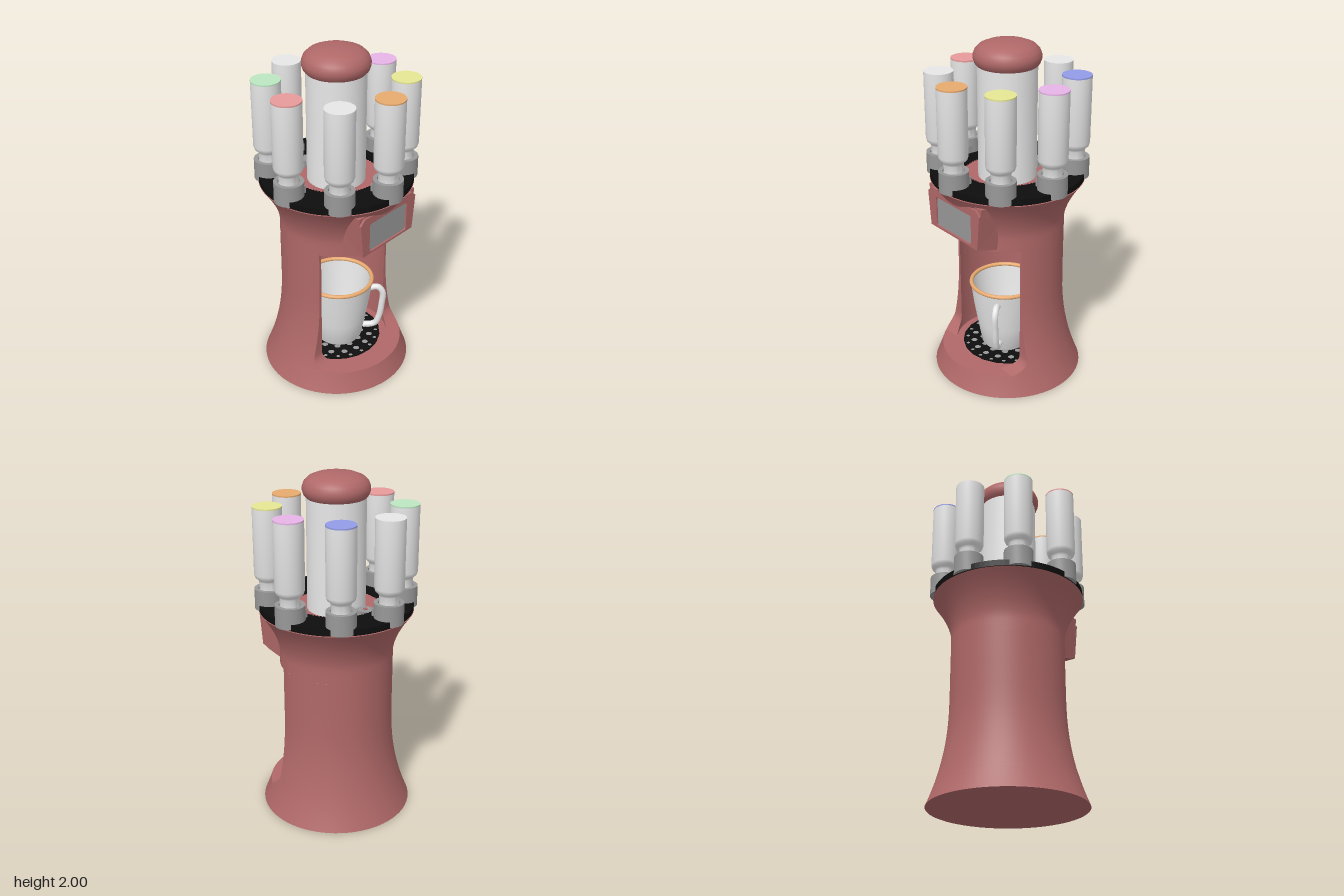
import * as THREE from 'three';
import { toCreasedNormals } from 'three/addons/utils/BufferGeometryUtils.js';

const mat = (name, color, side = THREE.FrontSide) => {
  const m = new THREE.MeshStandardMaterial({ color, side });
  m.name = name;
  return m;
};

export function createModel() {
  const model = new THREE.Group();
  model.name = 'drinkMachine';
  const red = mat('dusty red', 0xb06868);
  const black = mat('black', 0x0e0e0e);
  const grey = mat('grey', 0x989898);
  const white = mat('white', 0xf2f2f2);
  const orange = mat('orange', 0xf2b274);
  const yellow = mat('yellow', 0xf2f29b);
  const purple = mat('purple', 0xf2bdf2);
  const blue = mat('blue', 0x9aa3f2);
  const green = mat('green', 0xc5f2cb);
  const pink = mat('pink', 0xf2a1a1);

  const add = (name, geometry, material, parent = model) => {
    const mesh = new THREE.Mesh(geometry, material);
    mesh.name = name;
    parent.add(mesh);
    return mesh;
  };
  const lathe = (pts, seg = 72) => toCreasedNormals(
    new THREE.LatheGeometry(pts.map(([r, y]) => new THREE.Vector2(r, y)), seg), 0.6);
  // horizontal plate: shape lies in x/-z, its underside at y
  const plate = (shape, depth, y) => new THREE.ExtrudeGeometry(shape,
    { depth, bevelEnabled: false, curveSegments: 48 }).rotateX(-Math.PI / 2).translate(0, y, 0);

  // Body outline: flared foot, straight waist, flared top
  const radius = y => 0.326
    + 0.115 * Math.max(0, (0.6 - y) / 0.6) ** 2.2
    + 0.112 * Math.max(0, (y - 0.98) / 0.25) ** 1.7;
  const outline = (y0, y1, n) => Array.from({ length: n + 1 }, (_, i) => {
    const y = y0 + (y1 - y0) * i / n;
    return [radius(y), y];
  });
  const floorY = 0.12, ceilingY = 0.9, topY = 1.23;
  add('foot', lathe([[0, 0], ...outline(0, floorY, 6), [0, floorY]]), red);
  add('head', lathe([[0, ceilingY], ...outline(ceilingY, topY, 14), [0, topY]]), red);

  // Curved wall around the cup niche, open at the front
  const ys = [floorY, 0.132, 0.145, 0.16, 0.18, 0.2, 0.25, 0.3, 0.36, 0.42, 0.5, 0.6, 0.75, ceilingY];
  const n = 56, inner = 0.312, loop = 2 * (n + 1);
  const positions = [], index = [];
  ys.forEach((y, j) => {
    const cutZ = 0.14 + 0.09 * Math.max(0, (0.2 - y) / 0.08) ** 2;
    for (const outside of [true, false]) {
      const r = outside ? radius(y) : inner;
      const start = Math.acos(cutZ / r);
      for (let i = 0; i <= n; i++) {
        const t = outside ? i / n : 1 - i / n;
        const a = start + t * 2 * (Math.PI - start);
        positions.push(r * Math.sin(a), y, r * Math.cos(a));
      }
    }
    if (j === 0) return;
    for (let i = 0; i < loop; i++) {
      const k = (i + 1) % loop, lo = (j - 1) * loop, hi = j * loop;
      index.push(lo + i, lo + k, hi + i, hi + k, hi + i, lo + k);
    }
  });
  const wall = new THREE.BufferGeometry();
  wall.setAttribute('position', new THREE.Float32BufferAttribute(positions, 3));
  wall.setIndex(index);
  add('nicheWall', toCreasedNormals(wall, 0.6), red);

  // Control block with a sloping underside, widening towards the top
  const side = new THREE.Shape([[0.1, 0.9], [0.2, 0.9], [0.335, 0.937], [0.375, 0.955], [0.375, 1.2], [0.1, 1.2]]
    .map(([z, y]) => new THREE.Vector2(-z, y)));
  const block = new THREE.ExtrudeGeometry(side, { depth: 0.42, bevelEnabled: false })
    .translate(0, 0, -0.21).rotateY(Math.PI / 2);
  const p = block.attributes.position;
  for (let i = 0; i < p.count; i++) p.setX(i, p.getX(i) * (1 + 0.45 * Math.max(0, p.getY(i) - 0.955)));
  block.computeVertexNormals();
  add('controlBlock', block, red);

  // Screen set into a shallow frame
  const roundRect = (s, w, y0, y1, r) => {
    s.moveTo(-w + r, y0);
    s.lineTo(w - r, y0); s.quadraticCurveTo(w, y0, w, y0 + r);
    s.lineTo(w, y1 - r); s.quadraticCurveTo(w, y1, w - r, y1);
    s.lineTo(-w + r, y1); s.quadraticCurveTo(-w, y1, -w, y1 - r);
    s.lineTo(-w, y0 + r); s.quadraticCurveTo(-w, y0, -w + r, y0);
    return s;
  };
  const frame = new THREE.Shape([[-0.21, 0.955], [0.21, 0.955], [0.231, 1.16], [0.2, 1.19], [-0.2, 1.19], [-0.231, 1.16]]
    .map(([x, y]) => new THREE.Vector2(x, y)));
  frame.holes.push(roundRect(new THREE.Path(), 0.157, 0.967, 1.145, 0.018));
  add('screenFrame', new THREE.ExtrudeGeometry(frame, { depth: 0.012, bevelEnabled: false }).translate(0, 0, 0.375), red);
  add('screen', new THREE.ShapeGeometry(roundRect(new THREE.Shape(), 0.151, 0.973, 1.139, 0.014))
    .translate(0, 0, 0.382), grey);

  // Drip tray: black grille over a grey dish
  const grille = new THREE.Shape().absarc(0, 0, 0.27, 0, Math.PI * 2);
  for (const [ring, count] of [[0.09, 8], [0.15, 12], [0.205, 16], [0.245, 20]]) {
    for (let i = 0; i < count; i++) {
      const a = (i + 0.5) / count * Math.PI * 2;
      grille.holes.push(new THREE.Path().absarc(ring * Math.cos(a), ring * Math.sin(a),
        ring > 0.22 ? 0.012 : 0.019, 0, Math.PI * 2));
    }
  }
  const trayGeometry = new THREE.ExtrudeGeometry(grille, { depth: 0.005, bevelEnabled: false, curveSegments: 10 });
  add('dripGrille', trayGeometry.rotateX(-Math.PI / 2).translate(0, floorY, 0), black);
  add('dripDish', new THREE.CircleGeometry(0.265, 40).rotateX(-Math.PI / 2).translate(0, floorY + 0.001, 0), grey);

  // Mug with a coloured rim and a handle turned to the front left
  const mug = new THREE.Group();
  mug.name = 'mug';
  mug.position.z = 0.02;
  model.add(mug);
  add('mugBody', lathe([[0, 0.126], [0.13, 0.126], [0.14, 0.14], [0.165, 0.28], [0.187, 0.41], [0.203, 0.535],
    [0.191, 0.535], [0.175, 0.41], [0.153, 0.28], [0.13, 0.15], [0, 0.15]], 48), white);
  add('mugRim', new THREE.TorusGeometry(0.199, 0.012, 10, 56).rotateX(Math.PI / 2).translate(0, 0.54, 0), orange);
  const path = new THREE.CatmullRomCurve3([[0.185, 0.475], [0.235, 0.485], [0.265, 0.45], [0.262, 0.36],
    [0.246, 0.26], [0.22, 0.21], [0.15, 0.195]].map(([r, y]) => new THREE.Vector3(0, y, r)));
  const handle = add('mugHandle', new THREE.TubeGeometry(path, 36, 0.019, 12), white, mug);
  handle.rotation.y = 0.66;
  for (const name of ['mugBody', 'mugRim']) mug.add(model.getObjectByName(name));

  // Rotating carousel ring with internal teeth
  const carousel = new THREE.Shape().absarc(0, 0, 0.436, 0, Math.PI * 2);
  const teeth = 90, toothPoints = [];
  for (let i = 0; i < teeth * 2; i++) {
    const a = i / (teeth * 2) * Math.PI * 2, r = i % 2 ? 0.253 : 0.263;
    toothPoints.push(new THREE.Vector2(r * Math.cos(a), r * Math.sin(a)));
  }
  carousel.holes.push(new THREE.Path(toothPoints));
  add('carouselRing', plate(carousel, 0.036, 1.234), black);

  // Drive gear behind the tank
  const cog = new THREE.Shape();
  for (let i = 0; i < 36; i++) {
    const a = i / 36 * Math.PI * 2, r = i % 2 ? 0.041 : 0.049;
    cog[i ? 'lineTo' : 'moveTo'](r * Math.cos(a), r * Math.sin(a));
  }
  add('driveGear', plate(cog, 0.04, 1.23), grey).position.z = -0.211;
  add('gearPin', new THREE.CylinderGeometry(0.012, 0.012, 0.05, 16), red).position.set(0, 1.25, -0.211);

  // Central tank and its domed lid
  add('tank', new THREE.CylinderGeometry(0.165, 0.165, 0.65, 64).translate(0, 1.55, 0), white);
  add('tankLid', lathe([[0, 1.865], [0.163, 1.865], [0.178, 1.882], [0.186, 1.905], [0.186, 1.925], [0.176, 1.952],
    [0.152, 1.975], [0.115, 1.99], [0.06, 1.998], [0, 2]], 48), red);

  // Eight bottles in holders, counted from the front towards +x
  [orange, yellow, purple, blue, white, green, pink, white].forEach((capColor, i) => {
    const station = new THREE.Group();
    station.name = 'bottleStation' + (i + 1);
    station.rotation.y = i * Math.PI / 4;
    model.add(station);
    const place = (name, geometry, material) => add(name, geometry.translate(0, 0, 0.375), material, station);
    place('holder', lathe([[0, 1.238], [0.083, 1.238], [0.083, 1.355], [0.06, 1.355], [0.06, 1.34], [0, 1.34]], 36), grey);
    place('holderBlock', new THREE.BoxGeometry(0.1, 0.075, 0.08).translate(0, 1.2755, -0.04), grey);
    place('bottle', lathe([[0.055, 1.33], [0.055, 1.395], [0.062, 1.408], [0.076, 1.42], [0.082, 1.44],
      [0.082, 1.815], [0, 1.815]], 36), white);
    place('bottleCap', new THREE.CylinderGeometry(0.082, 0.082, 0.008, 36).translate(0, 1.819, 0), capColor);
  });
  return model;
}
